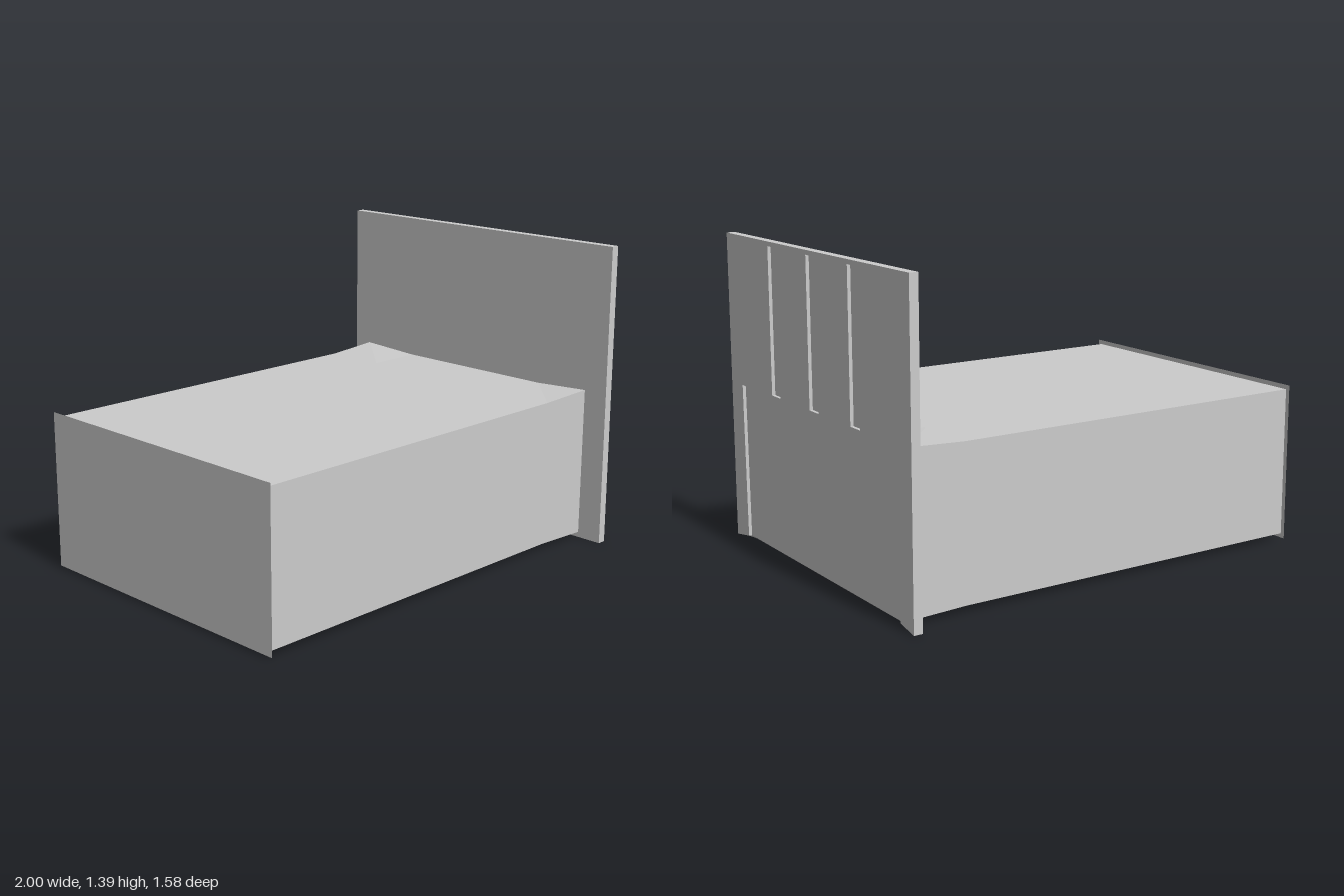
import * as THREE from 'three';

const material = new THREE.MeshStandardMaterial({ color: 0xcccccc, flatShading: true, side: THREE.DoubleSide });

function addPart(group, name, geometry) {
  const mesh = new THREE.Mesh(geometry, material);
  mesh.name = name;
  group.add(mesh);
  return mesh;
}

// Joins equal-length [z, y] outlines placed at successive x stations.
function loft(stations) {
  const positions = [], index = [];
  const n = stations[0].outline.length;
  for (const { x, outline } of stations) {
    for (const [z, y] of outline) positions.push(x, y, z);
  }
  for (let s = 0; s < stations.length - 1; s++) {
    for (let i = 0; i < n; i++) {
      const a = s * n + i, b = s * n + (i + 1) % n;
      index.push(a, a + n, b, b, a + n, b + n);
    }
  }
  const geometry = new THREE.BufferGeometry();
  geometry.setAttribute('position', new THREE.Float32BufferAttribute(positions, 3));
  geometry.setIndex(index);
  const flat = geometry.toNonIndexed();
  flat.computeVertexNormals();
  return flat;
}

// Extrudes a [z, y] outline along +x.
const toPoints = (outline) => outline.map(([z, y]) => new THREE.Vector2(-z, y));
function extrudeX(outline, holes, depth) {
  const shape = new THREE.Shape(toPoints(outline));
  for (const hole of holes) shape.holes.push(new THREE.Path(toPoints(hole)));
  return new THREE.ExtrudeGeometry(shape, { depth, bevelEnabled: false });
}

export function createModel() {
  const model = new THREE.Group();
  model.name = 'bed';

  // Bed body, its corners flaring slightly where it meets the headboard
  const straight = [[0.66, 0.03], [-0.69, 0.03], [-0.69, 0.7], [-0.4, 0.7], [0.4, 0.7], [0.66, 0.7]];
  const flared = [[0.67, 0.025], [-0.7, 0.025], [-0.7, 0.715], [-0.4, 0.7], [0.4, 0.7], [0.673, 0.715]];
  addPart(model, 'bedBody', loft([
    { x: -1, outline: straight },
    { x: 0.7, outline: straight },
    { x: 0.965, outline: flared },
  ]));

  // Thin foot panel, a little larger than the body
  const foot = addPart(model, 'footPanel', new THREE.PlaneGeometry(1.39, 0.71));
  foot.rotation.y = -Math.PI / 2;
  foot.position.set(-1, 0.365, -0.015);

  // Headboard, with a sloping underside
  const headboard = new THREE.Group();
  headboard.name = 'headboard';
  model.add(headboard);
  const backDepth = 0.025;
  const back = extrudeX([[-0.79, 0], [-0.69, 0.02], [0.67, 0.02], [0.79, 0], [0.79, 1.39], [-0.79, 1.39]], [], backDepth);
  const p = back.attributes.position;
  for (let i = 0; i < p.count; i++) {
    if (p.getZ(i) < 0.001 && p.getY(i) < 0.03) p.setY(i, 0);
  }
  back.computeVertexNormals();
  const backMesh = addPart(headboard, 'headboardBack', back);
  backMesh.rotation.y = Math.PI / 2;
  backMesh.position.x = 0.96;

  // Outer layer, with three slots and a recess open at the bottom
  const slots = [0.34, -0.01, -0.36].map((z) =>
    [[z - 0.04, 0.725], [z + 0.04, 0.725], [z + 0.04, 1.37], [z - 0.04, 1.37]]);
  const face = addPart(headboard, 'headboardFace', extrudeX([
    [-0.79, 0], [-0.69, 0.02], [-0.7, 0.72], [-0.4, 0.702], [0.4, 0.702],
    [0.68, 0.72], [0.67, 0.02], [0.79, 0], [0.79, 1.39], [-0.79, 1.39],
  ], slots, 0.015));
  face.rotation.y = Math.PI / 2;
  face.position.x = 0.96 + backDepth;

  return model;
}
